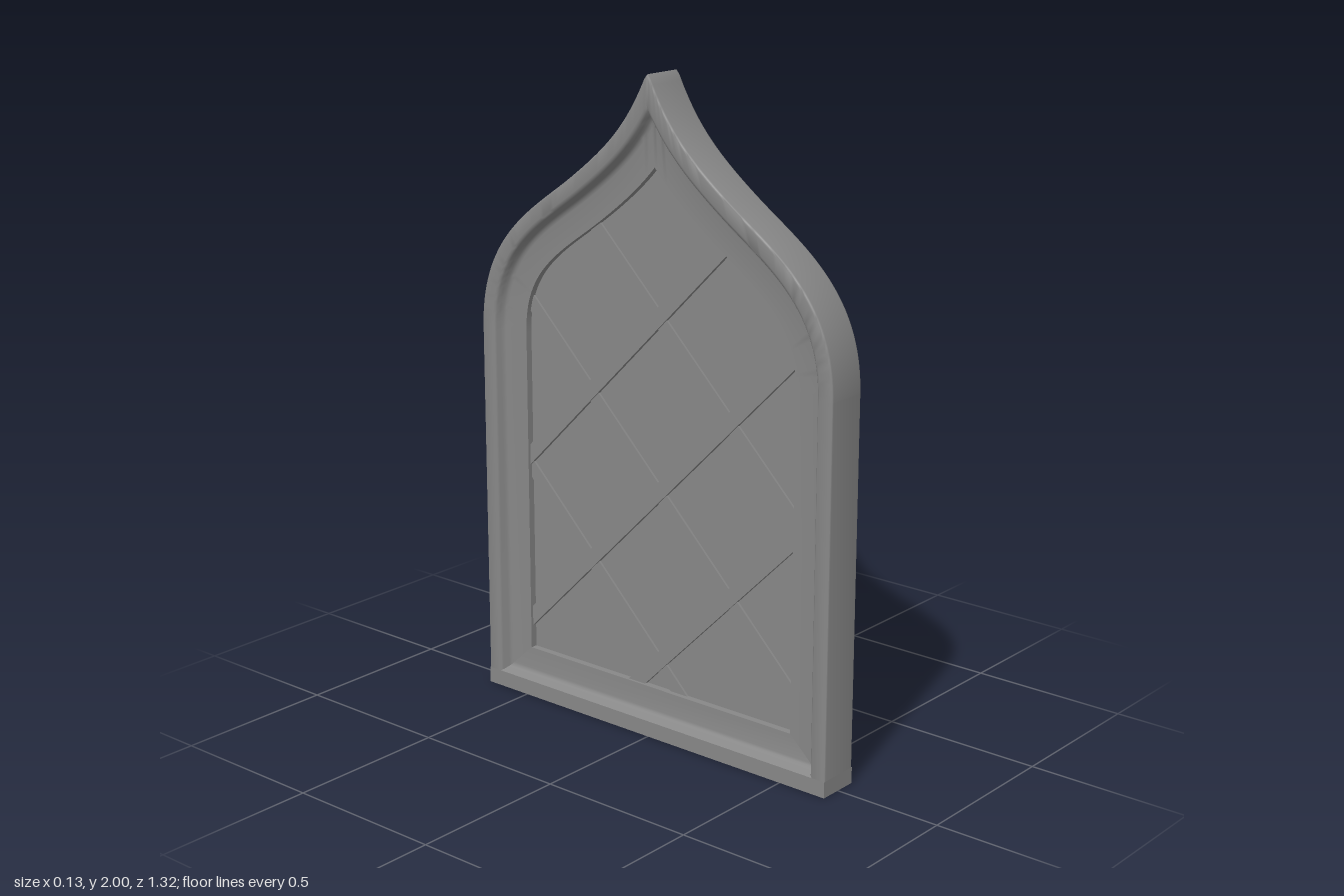
import * as THREE from 'three';
import { toCreasedNormals } from 'three/addons/utils/BufferGeometryUtils.js';

const grey = new THREE.MeshStandardMaterial({ color: 0x878787 });
const V = (a, b) => new THREE.Vector2(a, b);
const CREASE = 1;

// Moulding section: [inset from the outer edge, half thickness]
const section = [[0, 0.06], [0.001, 0.0645], [0.003, 0.066], [0.007, 0.067], [0.042, 0.067],
  [0.048, 0.065], [0.053, 0.06], [0.057, 0.05], [0.061, 0.041], [0.067, 0.035], [0.075, 0.033],
  [0.15, 0.032]];
const loop = [...section, ...section.map(([d, x]) => [d, -x]).reverse()];

// Outer edge of half the ogee arch, in the z-y plane, from post to rounded tip
const arch = new THREE.CurvePath();
arch.add(new THREE.CubicBezierCurve(V(0.66, 1.17), V(0.66, 1.46), V(0.45, 1.56), V(0.3, 1.67)));
arch.add(new THREE.CubicBezierCurve(V(0.3, 1.67), V(0.15, 1.78), V(0.08, 1.85), V(0.012, 1.985)));
arch.add(new THREE.QuadraticBezierCurve(V(0.012, 1.985), V(0.005, 1.999), V(0, 2)));

function inward(t, d) {
  const p = arch.getPoint(t), n = arch.getTangent(t);
  return V(p.x - n.y * d, p.y + n.x * d);
}

// Row of points parallel to the arch, ending where it meets the centre line
function archLine(d, steps) {
  let lo = 0.3, hi = 1;
  for (let i = 0; i < 40 && d > 0; i++) {
    const mid = (lo + hi) / 2;
    if (inward(mid, d).x > 0) lo = mid; else hi = mid;
  }
  const line = [];
  for (let i = 0; i <= steps; i++) line.push(inward((hi * i) / steps, d));
  line[0].set(0.66 - d, 1.17);
  line[steps].x = 0;
  return line;
}

// Skins the closed section along the arch
function archGeometry(steps) {
  const lines = loop.map(([d]) => archLine(d, steps));
  const m = loop.length, pos = [], index = [];
  for (let i = 0; i <= steps; i++)
    for (let j = 0; j < m; j++) pos.push(loop[j][1], lines[j][i].y, lines[j][i].x);
  for (let i = 0; i < steps; i++)
    for (let j = 0; j < m; j++) {
      const a = i * m + j, b = i * m + (j + 1) % m;
      index.push(a, b, b + m, a, b + m, a + m);
    }
  const g = new THREE.BufferGeometry();
  g.setAttribute('position', new THREE.Float32BufferAttribute(pos, 3));
  g.setIndex(index);
  return toCreasedNormals(g, CREASE);
}

const extrude = (points, depth) =>
  new THREE.ExtrudeGeometry(new THREE.Shape(points), { depth, bevelEnabled: false });

export function createModel() {
  const model = new THREE.Group();
  const add = (name, geometry, parent = model) => {
    const mesh = new THREE.Mesh(geometry, grey);
    mesh.name = name;
    parent.add(mesh);
    return mesh;
  };

  // Arch halves and posts, the second of each turned half round
  const archGeo = archGeometry(64);
  const postGeo = toCreasedNormals(extrude(loop.map(([d, x]) => V(x, d - 0.66)), 1.12)
    .rotateX(-Math.PI / 2).translate(0, 0.05, 0), CREASE);
  ['front', 'back'].forEach((side, i) => {
    add(side + 'Arch', archGeo).rotation.y = i * Math.PI;
    add(side + 'Post', postGeo).rotation.y = i * Math.PI;
  });

  // Sill: plinth with a coved rise up to the pane
  add('sillBase', new THREE.BoxGeometry(0.134, 0.05, 1.32)).position.y = 0.025;
  const rise = [[0.067, 0.05], [0.06, 0.054], [0.05, 0.058], [0.041, 0.062], [0.035, 0.068],
    [0.033, 0.076], [0.032, 0.145]];
  const riseLoop = [...rise.map(([x, y]) => V(x, y)), ...rise.map(([x, y]) => V(-x, y)).reverse()];
  add('sillRise', toCreasedNormals(extrude(riseLoop, 1.31).translate(0, 0, -0.655), CREASE));

  // Pane filling the opening
  const edge = archLine(0.14, 40);
  const paneLoop = [V(-0.52, 0.1), V(0.52, 0.1), ...edge,
    ...edge.slice(0, -1).reverse().map((p) => V(-p.x, p.y))];
  add('pane', extrude(paneLoop, 0.02).translate(0, 0, -0.01).rotateY(-Math.PI / 2));

  // Diagonal lattice: each set stands proud on one face
  // [height at the centre line, start z, end z]
  const bars = [[0.225, 0.1, -0.55], [0.76, 0.55, -0.55], [1.29, 0.55, -0.285]];
  ['rightLattice', 'leftLattice'].forEach((name, i) => {
    const set = new THREE.Group();
    set.name = name;
    set.rotation.y = i * Math.PI;
    model.add(set);
    for (const [c, z0, z1] of bars) {
      const bar = add('latticeBar', new THREE.BoxGeometry(0.04, (z0 - z1) * Math.SQRT2, 0.045), set);
      bar.position.set(0.003, c - (z0 + z1) / 2, (z0 + z1) / 2);
      bar.rotation.x = -Math.PI / 4;
    }
  });
  return model;
}
